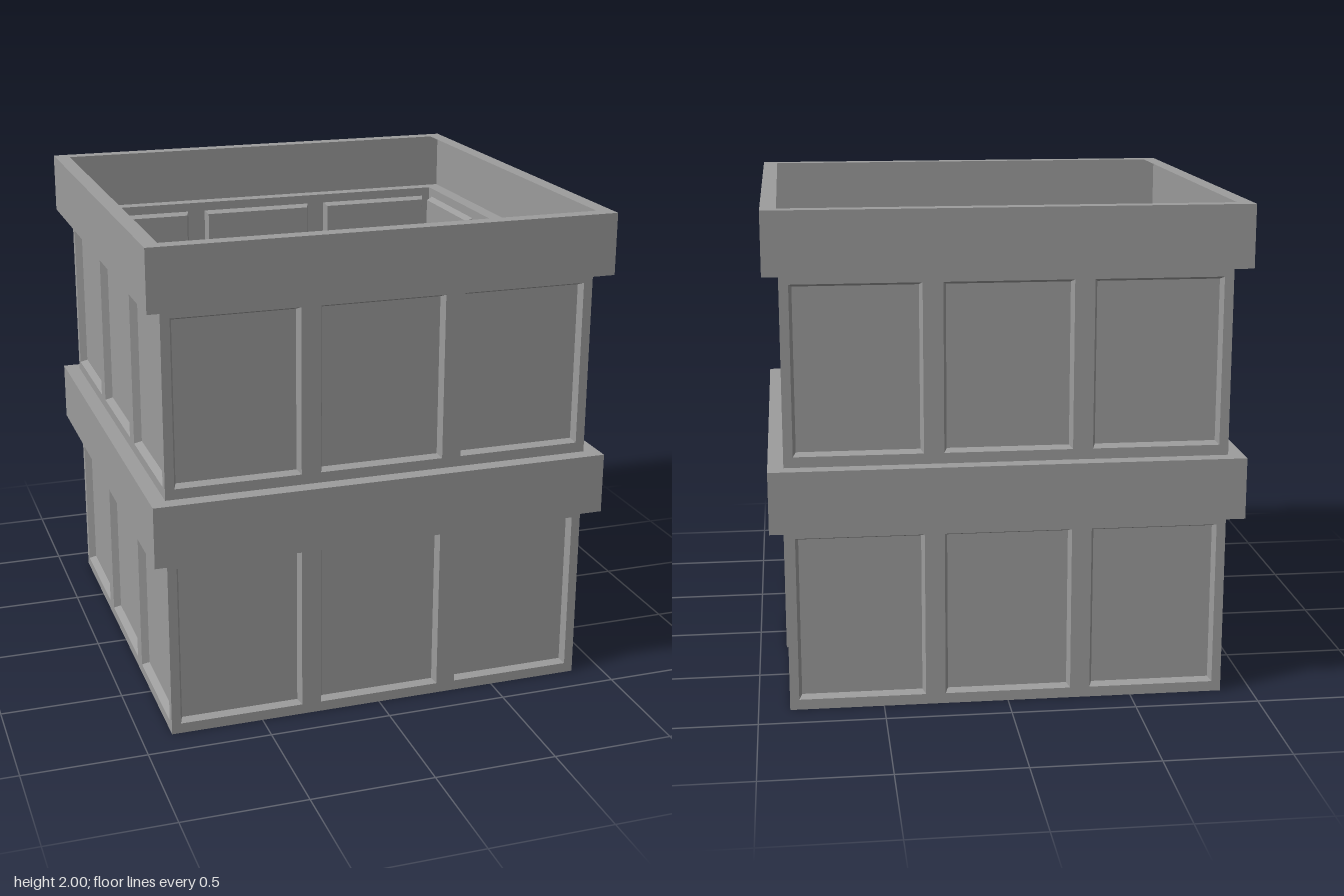
import * as THREE from 'three';

const HALF = 0.875;        // wall distance from the centre
const BAND = 0.937;        // band distance from the centre
const WALL_H = 0.752;      // wall height under each band
const DOOR = { x0: -0.196, x1: 0.196, y0: 0, y1: 0.588 };
const DOOR_Z = HALF + 0.012;

const material = new THREE.MeshStandardMaterial({
  color: 0x9c9c9c, side: THREE.DoubleSide, flatShading: true,
});

function addMesh(parent, name, geometry) {
  const mesh = new THREE.Mesh(geometry, material);
  mesh.name = name;
  parent.add(mesh);
  return mesh;
}

const corners = (r, inset = 0) => [
  [r.x0 + inset, r.y0 + inset], [r.x1 - inset, r.y0 + inset],
  [r.x1 - inset, r.y1 - inset], [r.x0 + inset, r.y1 - inset],
];
const toPoints = (list) => list.map(([x, y]) => new THREE.Vector2(x, y));

// Flat sheet at depth z with rectangular openings
function sheet(outline, openings, z) {
  const shape = new THREE.Shape(toPoints(outline));
  openings.forEach((r) => shape.holes.push(new THREE.Path(toPoints(corners(r)))));
  return new THREE.ShapeGeometry(shape).translate(0, 0, z);
}

// Four sloping sides between two rectangles, optionally closed at the far one
function tray(r, zA, zB, inset, closed = true) {
  const a = corners(r).map((p) => [...p, zA]);
  const b = corners(r, inset).map((p) => [...p, zB]);
  const pos = [];
  const quad = (p, q, s, t) => pos.push(...p, ...q, ...s, ...p, ...s, ...t);
  for (let i = 0; i < 4; i++) {
    const j = (i + 1) % 4;
    quad(a[i], a[j], b[j], b[i]);
  }
  if (closed) quad(...b);
  const geometry = new THREE.BufferGeometry();
  geometry.setAttribute('position', new THREE.Float32BufferAttribute(pos, 3));
  geometry.computeVertexNormals();
  return geometry;
}

// Hollow square band, open towards the inside of the building
function band(y0, y1) {
  const profile = [[HALF, y0], [BAND, y0], [BAND, y1], [HALF, y1]]
    .map(([r, y]) => new THREE.Vector2(r * Math.SQRT2, y));
  const geometry = new THREE.LatheGeometry(profile, 4, Math.PI / 4).toNonIndexed();
  geometry.computeVertexNormals();
  return geometry;
}

// Double door standing slightly proud of the wall
function createDoor() {
  const door = new THREE.Group();
  door.name = 'door';
  const leaves = [-1, 1].map((s) => ({
    x0: s * 0.0935 - 0.0785, x1: s * 0.0935 + 0.0785, y0: 0.024, y1: 0.565,
  }));
  addMesh(door, 'doorFrame', sheet(corners(DOOR), leaves, DOOR_Z));
  addMesh(door, 'doorEdge', tray(DOOR, HALF, DOOR_Z, 0, false));
  leaves.forEach((r) => addMesh(door, 'doorPanel', tray(r, DOOR_Z, DOOR_Z - 0.01, 0.005)));
  return door;
}

// One wall of one storey: sheet with recessed windows and, if asked, a door
function createWall(withDoor) {
  const wall = new THREE.Group();
  wall.name = 'wall';
  const windows = (withDoor ? [-1, 1] : [-1, 0, 1]).map((i) => ({
    x0: i * 0.585 - 0.253, x1: i * 0.585 + 0.253, y0: 0.042, y1: 0.713,
  }));
  const outline = [[HALF, 0], [HALF, WALL_H], [-HALF, WALL_H], [-HALF, 0]];
  if (withDoor) {
    outline.push([DOOR.x0, 0], [DOOR.x0, DOOR.y1], [DOOR.x1, DOOR.y1], [DOOR.x1, 0]);
    wall.add(createDoor());
  }
  addMesh(wall, 'wallSheet', sheet(outline, windows, HALF));
  windows.forEach((r) => addMesh(wall, 'windowPanel', tray(r, HALF, HALF - 0.03, 0.012)));
  return wall;
}

export function createModel() {
  const building = new THREE.Group();
  building.name = 'building';
  for (let floor = 0; floor < 2; floor++) {
    const storey = new THREE.Group();
    storey.name = floor === 0 ? 'groundFloor' : 'upperFloor';
    storey.position.y = floor;
    // Side 1 is the +x wall, which holds the door on the ground floor
    for (let side = 0; side < 4; side++) {
      const wall = createWall(floor === 0 && side === 1);
      wall.rotation.y = side * Math.PI / 2;
      storey.add(wall);
    }
    addMesh(storey, 'band', band(WALL_H, 1));
    building.add(storey);
  }
  return building;
}
